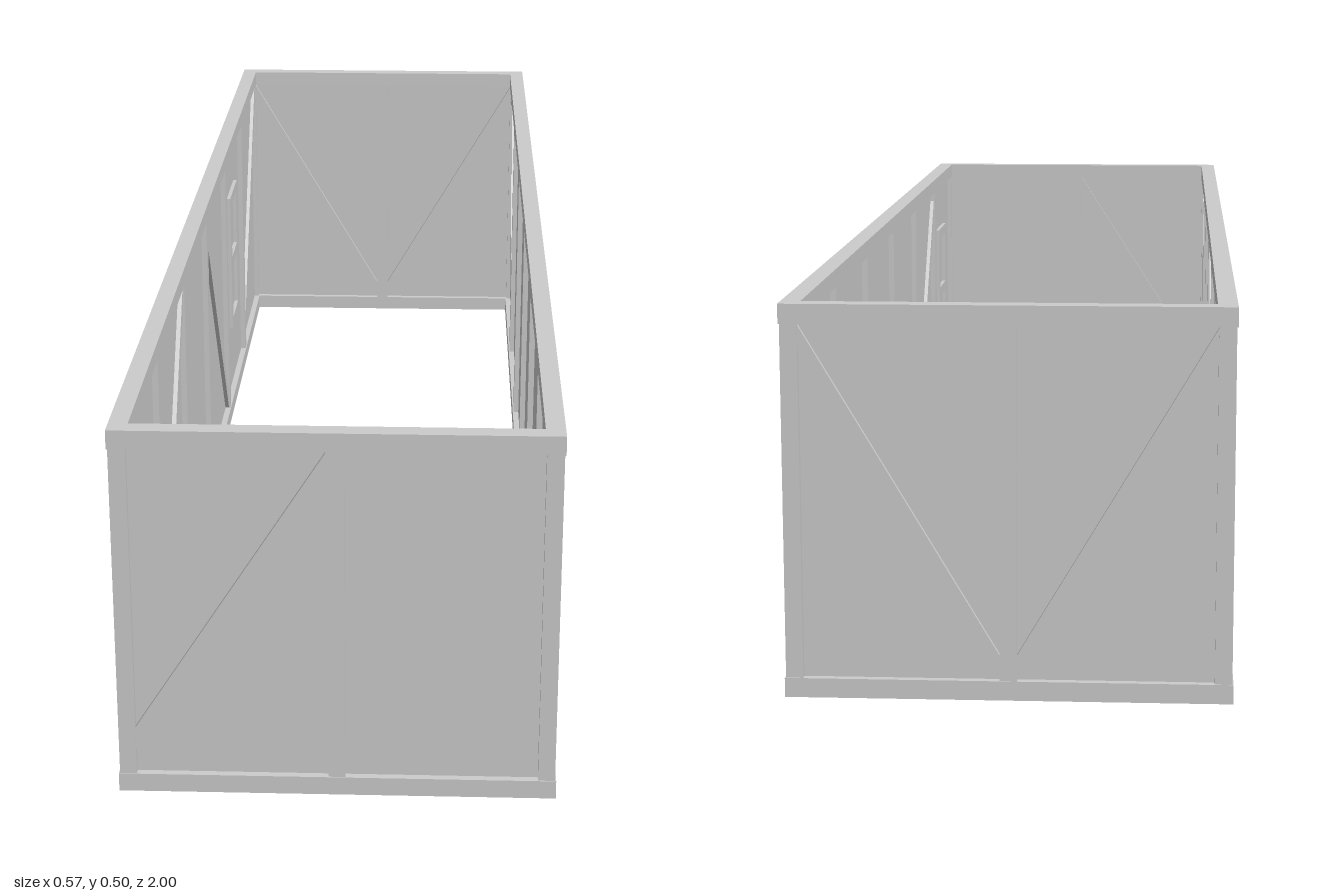
import * as THREE from 'three';

const H = 0.503, RAIL = 0.025, HALF_X = 0.283, HALF_Z = 1;
const POST = 0.022, PANEL = 0.005, BAY = 0.328;
const LOW = RAIL, HIGH = H - RAIL;
const material = new THREE.MeshStandardMaterial({ color: 0xcccccc, flatShading: true });

function add(parent, name, geometry, x = 0, y = 0, z = 0) {
  const mesh = new THREE.Mesh(geometry, material);
  mesh.name = name;
  mesh.position.set(x, y, z);
  parent.add(mesh);
  return mesh;
}

function box(parent, name, w, h, d, x, y, z = 0) {
  return add(parent, name, new THREE.BoxGeometry(w, h, d), x, y, z);
}

// Diagonal bar cut upright where it meets the posts; y values are its lower edge
function brace(wall, x1, y1, x2, y2) {
  const t = 0.031, depth = 0.018;
  const shape = new THREE.Shape([
    new THREE.Vector2(x1, y1), new THREE.Vector2(x2, y2),
    new THREE.Vector2(x2, y2 + t), new THREE.Vector2(x1, y1 + t),
  ]);
  const geometry = new THREE.ExtrudeGeometry(shape, { depth, bevelEnabled: false });
  add(wall, 'brace', geometry, 0, 0, -depth / 2);
}

// Two-pane window: one outer frame with two openings, standing proud of the panel
function windowFrame(wall, x) {
  const w = 0.13, h = 0.25, rim = 0.018, depth = 0.018, y = 0.268;
  const rect = (Type, x0, y0, x1, y1) => new Type([
    new THREE.Vector2(x0, y0), new THREE.Vector2(x1, y0),
    new THREE.Vector2(x1, y1), new THREE.Vector2(x0, y1),
  ]);
  const shape = rect(THREE.Shape, -w / 2, -h / 2, w / 2, h / 2);
  for (const [y0, y1] of [[-h / 2 + rim, -rim / 2], [rim / 2, h / 2 - rim]]) {
    shape.holes.push(rect(THREE.Path, -w / 2 + rim, y0, w / 2 - rim, y1));
  }
  const geometry = new THREE.ExtrudeGeometry(shape, { depth, bevelEnabled: false });
  add(wall, 'windowFrame', geometry, x, y, -depth / 2);
}

// A wall in its own frame: x runs rightward as seen from outside, z points outward
function makeWall(name, halfLength, postXs, braces, windows) {
  const wall = new THREE.Group();
  wall.name = name;
  box(wall, 'panel', 2 * halfLength - RAIL, HIGH - LOW, PANEL, 0, H / 2);
  for (const x of postXs) box(wall, 'post', POST, HIGH - LOW, POST, x, H / 2);
  for (const b of braces) brace(wall, ...b);
  for (const x of windows) windowFrame(wall, x);
  return wall;
}

export function createModel() {
  const model = new THREE.Group();
  model.name = 'timberFrameWalls';
  const cx = HALF_X - RAIL / 2, cz = HALF_Z - RAIL / 2;

  // Top and bottom rails, and corner posts set in slightly from them
  for (const y of [RAIL / 2, H - RAIL / 2]) {
    for (const s of [-1, 1]) {
      box(model, 'sideRail', RAIL, RAIL, 2 * HALF_Z, s * cx, y, 0);
      box(model, 'endRail', 2 * (HALF_X - RAIL), RAIL, RAIL, 0, y, s * cz);
    }
  }
  for (const sx of [-1, 1]) {
    for (const sz of [-1, 1]) {
      box(model, 'cornerPost', POST, HIGH - LOW, POST, sx * cx, H / 2, sz * cz);
    }
  }

  const sidePosts = [-2, -1, 0, 1, 2].map((i) => i * BAY);
  const top = 0.445, foot = 0.027, p = POST / 2;
  const ex = cx - p, ez = cz - p;

  const front = makeWall('frontWall', HALF_X, [0], [[-ex, 0.06, -p, 0.447]], []);
  front.position.z = cz;

  const back = makeWall('backWall', HALF_X, [0],
    [[-ex, top, -p, foot], [p, foot, ex, top]], []);
  back.position.z = -cz;
  back.rotation.y = Math.PI;

  const left = makeWall('leftWall', HALF_Z, sidePosts, [
    [-2 * BAY + p, 0.43, -BAY - p, foot],
    [2 * BAY + p, foot, ez, top],
  ], [-0.808]);
  left.position.x = cx;
  left.rotation.y = Math.PI / 2;

  const right = makeWall('rightWall', HALF_Z, sidePosts, [
    [-ez, top, -2 * BAY - p, foot],
    [-BAY + p, foot, -p, top],
    [BAY + p, top, 2 * BAY - p, foot],
    [2 * BAY + p, foot, ez, top],
  ], [-0.487]);
  right.position.x = -cx;
  right.rotation.y = -Math.PI / 2;

  model.add(front, back, left, right);
  return model;
}
